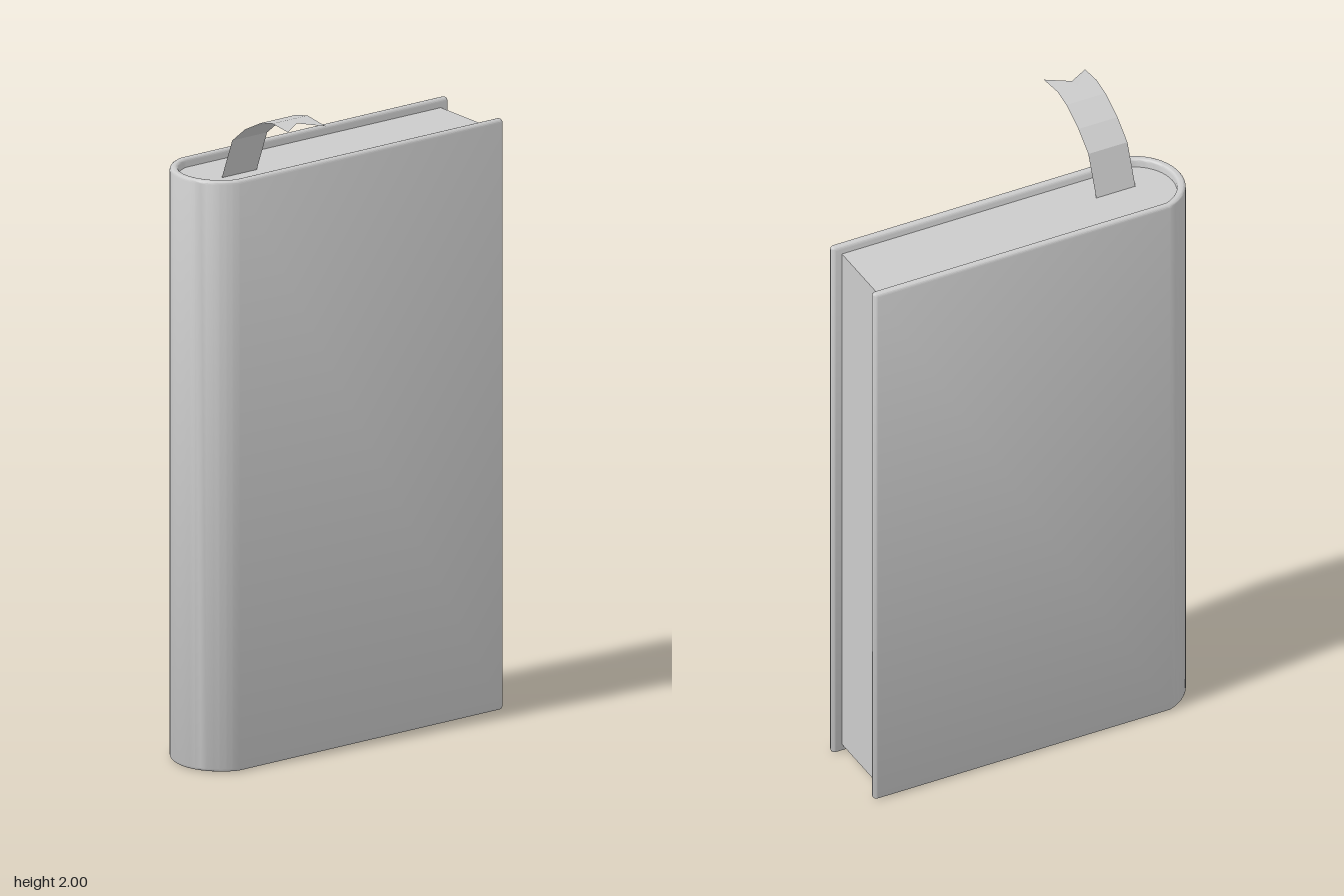
import * as THREE from 'three';
import { toCreasedNormals } from 'three/addons/utils/BufferGeometryUtils.js';

const HEIGHT = 1.8;      // cover height
const MID_Z = -0.105;    // middle of the book's thickness
const SPINE_X = -0.389;  // centre of the spine arc

// Points along the spine: an arc of the given radius, cut where it meets the flat boards at +-halfZ
function spineArc(radius, halfZ, steps = 20) {
  const a = Math.asin(halfZ / radius);
  return Array.from({ length: steps + 1 }, (_, i) => {
    const t = Math.PI - a + (2 * a * i) / steps;
    return new THREE.Vector2(SPINE_X + radius * Math.cos(t), radius * Math.sin(t));
  });
}

// Stand an extrusion upright, starting at height y
function upright(geometry, y) {
  geometry.rotateX(-Math.PI / 2);
  geometry.translate(0, y, MID_Z);
  return toCreasedNormals(geometry, 0.6);
}

// Both boards and the spine as one wrapped band with rounded edges
function coverGeometry() {
  const bevel = 0.0095, half = 0.003, tipX = 0.537 - bevel - half;
  const mid = 0.131, radius = 0.1375;
  const tip = (z, from) => Array.from({ length: 7 }, (_, i) => {
    const t = from + (Math.PI * i) / 6;
    return new THREE.Vector2(tipX + half * Math.cos(t), z + half * Math.sin(t));
  });
  const outline = [
    ...spineArc(radius + half, mid + half),
    ...tip(-mid, -Math.PI / 2),
    ...spineArc(radius - half, mid - half).reverse(),
    ...tip(mid, -Math.PI / 2),
  ];
  return upright(new THREE.ExtrudeGeometry(new THREE.Shape(outline), {
    depth: HEIGHT - 2 * bevel, bevelEnabled: true,
    bevelSize: bevel, bevelThickness: bevel, bevelSegments: 4,
  }), bevel);
}

// Page block, rounded at the back to fill the spine
function pagesGeometry() {
  const inset = 0.026, halfZ = 0.1195, edgeX = 0.507;
  const outline = [
    ...spineArc(0.126, halfZ),
    new THREE.Vector2(edgeX, -halfZ),
    new THREE.Vector2(edgeX, halfZ),
  ];
  return upright(new THREE.ExtrudeGeometry(new THREE.Shape(outline), {
    depth: HEIGHT - 2 * inset, bevelEnabled: false,
  }), inset);
}

// Ribbon strip curling forward, with a swallow-tail end
function ribbonGeometry() {
  const path = [[-0.085, 1.765], [-0.032, 1.9], [0.03, 1.95], [0.105, 1.988], [0.16, 2.0]];
  const tail = [[0.233, 1.992], [0.193, 1.997], [0.247, 1.989]];
  const geometry = new THREE.PlaneGeometry(0.128, 1, 2, path.length);
  const pos = geometry.attributes.position;
  for (let i = 0; i < pos.count; i++) {
    const row = Math.floor(i / 3);
    const [z, y] = row < path.length ? path[row] : tail[i % 3];
    pos.setXYZ(i, pos.getX(i) - 0.341, y, z);
  }
  geometry.computeVertexNormals();
  return geometry;
}

export function createModel() {
  const group = new THREE.Group();
  group.name = 'book';
  const grey = new THREE.MeshStandardMaterial({ color: 0xcccccc });
  const cloth = new THREE.MeshStandardMaterial({
    color: 0xcccccc, side: THREE.DoubleSide, flatShading: true,
  });
  const add = (name, geometry, material) => {
    const mesh = new THREE.Mesh(geometry, material);
    mesh.name = name;
    group.add(mesh);
  };
  add('cover', coverGeometry(), grey);
  add('pages', pagesGeometry(), grey);
  add('ribbonBookmark', ribbonGeometry(), cloth);
  return group;
}
